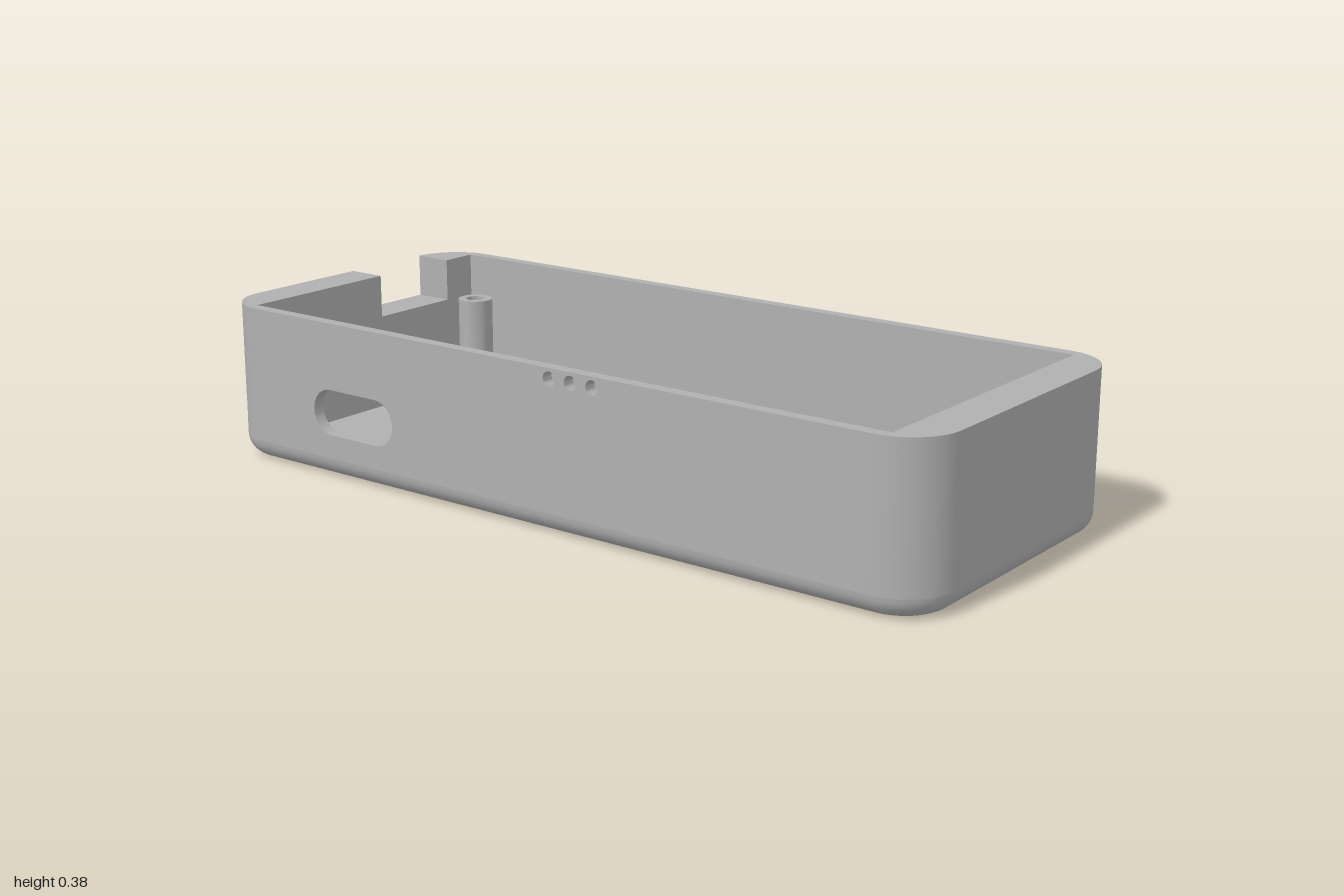
import * as THREE from 'three';
import { toCreasedNormals } from 'three/addons/utils/BufferGeometryUtils.js';

const H = 0.383, HX = 1, HZ = 0.415;     // outer height and half sizes
const R = 0.125, FILLET = 0.05;          // corner and bottom-edge radii
const IX = 0.9, IZ = 0.385, FLOOR = 0.035; // cavity
const SEG = 14;

const V = (x, y) => new THREE.Vector2(x, y);

export function createModel() {
  const group = new THREE.Group();
  const grey = new THREE.MeshStandardMaterial({ color: 0xb0b0b0 });

  const add = (name, geometry) => {
    const mesh = new THREE.Mesh(toCreasedNormals(geometry, 0.45), grey);
    mesh.name = name;
    group.add(mesh);
    return mesh;
  };

  // Plan outline (x, z) raised from y0 to y1
  const slab = (name, points, y0, y1) => {
    const g = new THREE.ExtrudeGeometry(new THREE.Shape(points), { depth: y1 - y0, bevelEnabled: false });
    g.rotateX(Math.PI / 2).translate(0, y1, 0);
    return add(name, g);
  };

  // Points of a rounded corner in plan; sx, sz pick the corner, from the long side to the end
  const corner = (sx, sz, from = Math.PI / 2, to = 0) => {
    const pts = [];
    for (let i = 0; i <= SEG; i++) {
      const a = from + (to - from) * i / SEG;
      pts.push(V(sx * (HX - R + R * Math.cos(a)), sz * (HZ - R + R * Math.sin(a))));
    }
    return pts;
  };
  const inner = (sx, sz) => [V(sx * IX, sz * IZ), V(sx * (HX - R), sz * IZ)];
  const curve = (a, b, c) => new THREE.QuadraticBezierCurve(a, b, c).getPoints(10);

  // Rounded base: rings of the outline following the bottom fillet
  const pos = [], index = [], STEPS = 8, N = 4 * (SEG + 1);
  for (let j = 0; j <= STEPS; j++) {
    const t = j / STEPS * Math.PI / 2;
    const r = R - FILLET * (1 - Math.sin(t)), y = FILLET * (1 - Math.cos(t));
    for (let q = 0; q < 4; q++) {
      const sx = q === 0 || q === 3 ? 1 : -1, sz = q < 2 ? 1 : -1;
      for (let i = 0; i <= SEG; i++) {
        const a = (q + i / SEG) * Math.PI / 2;
        pos.push(sx * (HX - R) + r * Math.cos(a), y, sz * (HZ - R) + r * Math.sin(a));
      }
    }
  }
  const centre = pos.length / 3;
  pos.push(0, 0, 0);
  for (let i = 0; i < N; i++) {
    const k = (i + 1) % N;
    index.push(centre, i, k);
    for (let j = 0; j < STEPS; j++) {
      const a = j * N + i, b = j * N + k, c = b + N, d = a + N;
      index.push(a, d, c, a, c, b);
    }
  }
  const base = new THREE.BufferGeometry();
  base.setAttribute('position', new THREE.Float32BufferAttribute(pos, 3));
  base.setIndex(index);
  add('roundedBase', base);

  // Inner floor with rounded edges along the long walls
  const fr = 0.04;
  const floorShape = new THREE.Shape();
  floorShape.moveTo(-IZ, 0.02);
  floorShape.lineTo(IZ, 0.02);
  floorShape.lineTo(IZ, FLOOR + fr);
  floorShape.absarc(IZ - fr, FLOOR + fr, fr, 0, -Math.PI / 2, true);
  floorShape.lineTo(-IZ + fr, FLOOR);
  floorShape.absarc(-IZ + fr, FLOOR + fr, fr, -Math.PI / 2, -Math.PI, true);
  const floor = new THREE.ExtrudeGeometry(floorShape, { depth: 2 * IX, bevelEnabled: false, curveSegments: 8 });
  floor.rotateY(Math.PI / 2).translate(-IX, 0, 0);
  add('floor', floor);
  for (const s of [-1, 1]) {
    add('endSill', new THREE.BoxGeometry(0.04, FILLET - 0.02, 2 * IZ))
      .position.set(s * (IX + 0.02), (FILLET + 0.02) / 2, 0);
  }

  // Long walls: the front has a slot and three small holes
  const longWall = (name, holes, z) => {
    const w = HX - R;
    const shape = new THREE.Shape([V(-w, FILLET), V(w, FILLET), V(w, H), V(-w, H)]);
    shape.holes.push(...holes);
    const g = new THREE.ExtrudeGeometry(shape, { depth: HZ - IZ, bevelEnabled: false, curveSegments: 16 });
    add(name, g.translate(0, 0, z));
  };
  const slot = new THREE.Path();
  const sr = 0.056, sy = 0.164;
  slot.absarc(-0.684 + sr, sy, sr, Math.PI / 2, Math.PI * 1.5, false);
  slot.absarc(-0.426 - sr, sy, sr, -Math.PI / 2, Math.PI / 2, false);
  slot.closePath();
  const dots = [0.053, 0.113, 0.173].map(x => new THREE.Path().absarc(x, 0.358, 0.017, 0, Math.PI * 2, false));
  longWall('frontWall', [slot, ...dots], IZ);
  longWall('backWall', [], -HZ);

  // Thick end walls with rounded corners
  const endPlan = s => [...corner(s, 1), ...corner(s, -1).reverse(),
    ...inner(s, -1).reverse(), ...inner(s, 1)];
  slab('leftEndWall', endPlan(1), FILLET, H);

  // Right end: strap tunnel through the front corner, and a notch in the rim
  const t0 = 0.08, t1 = 0.135, notchY = 0.275, notchFront = -0.04;
  slab('rightEndWallLower', endPlan(-1), FILLET, t0);
  slab('rightEndWallMiddle', endPlan(-1), t1, notchY);
  const angIn = Math.acos((0.95 - (HX - R)) / R), angOut = Math.acos((0.988 - (HX - R)) / R);
  const cutFront = corner(-1, 1, Math.PI / 2, angIn);
  slab('tunnelInnerWall', [...cutFront,
    ...curve(cutFront[SEG], V(-0.93, 0.23), V(-HX, 0.185)).slice(1),
    ...corner(-1, -1).reverse(), ...inner(-1, -1).reverse(), ...inner(-1, 1)], t0, t1);
  const bar = corner(-1, 1, angOut, 0);
  slab('tunnelOuterBar', [...bar,
    ...curve(V(-HX, 0.235), V(-0.975, 0.27), bar[0]).slice(0, -1)], t0, t1);
  slab('rightEndRimFront', [...corner(-1, 1), V(-HX, notchFront), V(-IX, notchFront),
    ...inner(-1, 1)], notchY, H);
  slab('rightEndRimBack', [...corner(-1, -1), V(-IX, -(HZ - R)), ...inner(-1, -1)], notchY, H);

  // Hollow screw posts in the four corners
  for (const sx of [-1, 1]) for (const sz of [-1, 1]) {
    const r = sx < 0 ? 0.045 : 0.05, bore = r * 0.54;
    const profile = [V(r, 0.025), V(r, 0.28), V(bore, 0.28), V(bore, 0.1), V(0, 0.1)];
    add('screwPost', new THREE.LatheGeometry(profile, 32)).position.set(sx * 0.838, 0, sz * 0.333);
  }
  return group;
}
